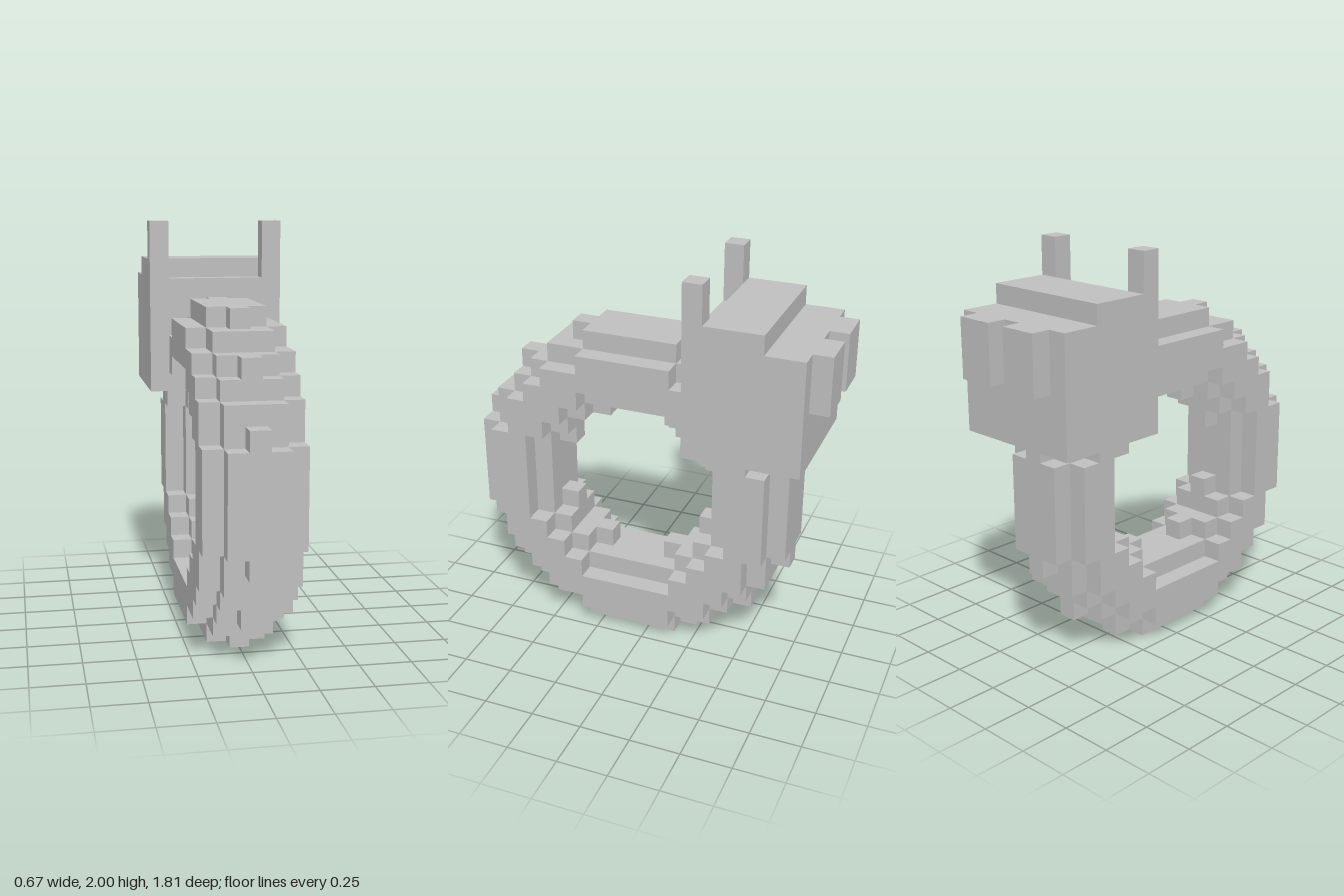
import * as THREE from 'three';

const V = 2 / 21; // size of one block

// Stair-stepped outline of a disc of blocks with the given radius
function steppedDisc(radius) {
  const top = Math.floor(radius);
  const width = j => Math.floor(Math.sqrt(radius * radius - j * j)) + 0.5;
  const right = [];
  for (let j = -top; j <= top; j++) {
    const w = width(j);
    if (j === -top || width(j - 1) !== w) right.push(new THREE.Vector2(w, j - 0.5));
    if (j === top || width(j + 1) !== w) right.push(new THREE.Vector2(w, j + 0.5));
  }
  const left = right.map(p => new THREE.Vector2(-p.x, p.y)).reverse();
  return right.concat(left);
}

export function createModel() {
  const model = new THREE.Group();
  const grey = new THREE.MeshStandardMaterial({ color: 0xbfbfbf });

  const add = (geometry, name, parent) => {
    geometry.scale(V, V, V);
    const mesh = new THREE.Mesh(geometry, grey);
    mesh.name = name;
    parent.add(mesh);
  };

  // Ring: one slab per block layer, narrowing towards the sides
  const ring = new THREE.Group();
  ring.name = 'ring';
  model.add(ring);
  const layers = [[8.57, 4.3], [8.35, 4.8], [7.45, 5.5]]; // outer and hole radius
  for (let x = -2; x <= 2; x++) {
    const [outer, inner] = layers[Math.abs(x)];
    const shape = new THREE.Shape(steppedDisc(outer));
    shape.holes.push(new THREE.Path(steppedDisc(inner)));
    const slab = new THREE.ExtrudeGeometry(shape, { depth: 1, bevelEnabled: false });
    slab.translate(0, 0, -0.5).rotateY(-Math.PI / 2).translate(x, 8.5, 1);
    add(slab, 'ringLayer', ring);
  }

  // Head: boxes given by their bounds in blocks
  const head = new THREE.Group();
  head.name = 'head';
  model.add(head);
  const box = (name, x0, x1, y0, y1, z0, z1) => {
    const g = new THREE.BoxGeometry(x1 - x0, y1 - y0, z1 - z0);
    g.translate((x0 + x1) / 2, (y0 + y1) / 2, (z0 + z1) / 2);
    add(g, name, head);
  };
  box('headBlock', -3.5, 3.5, 12, 18, -8.5, -2.5);
  box('headTop', -3.5, 3.5, 18, 19, -6.5, -3.5);
  for (const s of [0, 1]) {
    const side = s ? 'left' : 'right';
    box(side + 'Horn', s ? 2.5 : -3.5, s ? 3.5 : -2.5, 18, 21, -3.5, -2.5);
    box(side + 'BackPlate', s ? 0.5 : -2.5, s ? 2.5 : -0.5, 15, 18, -9.5, -8.5);
  }
  return model;
}
